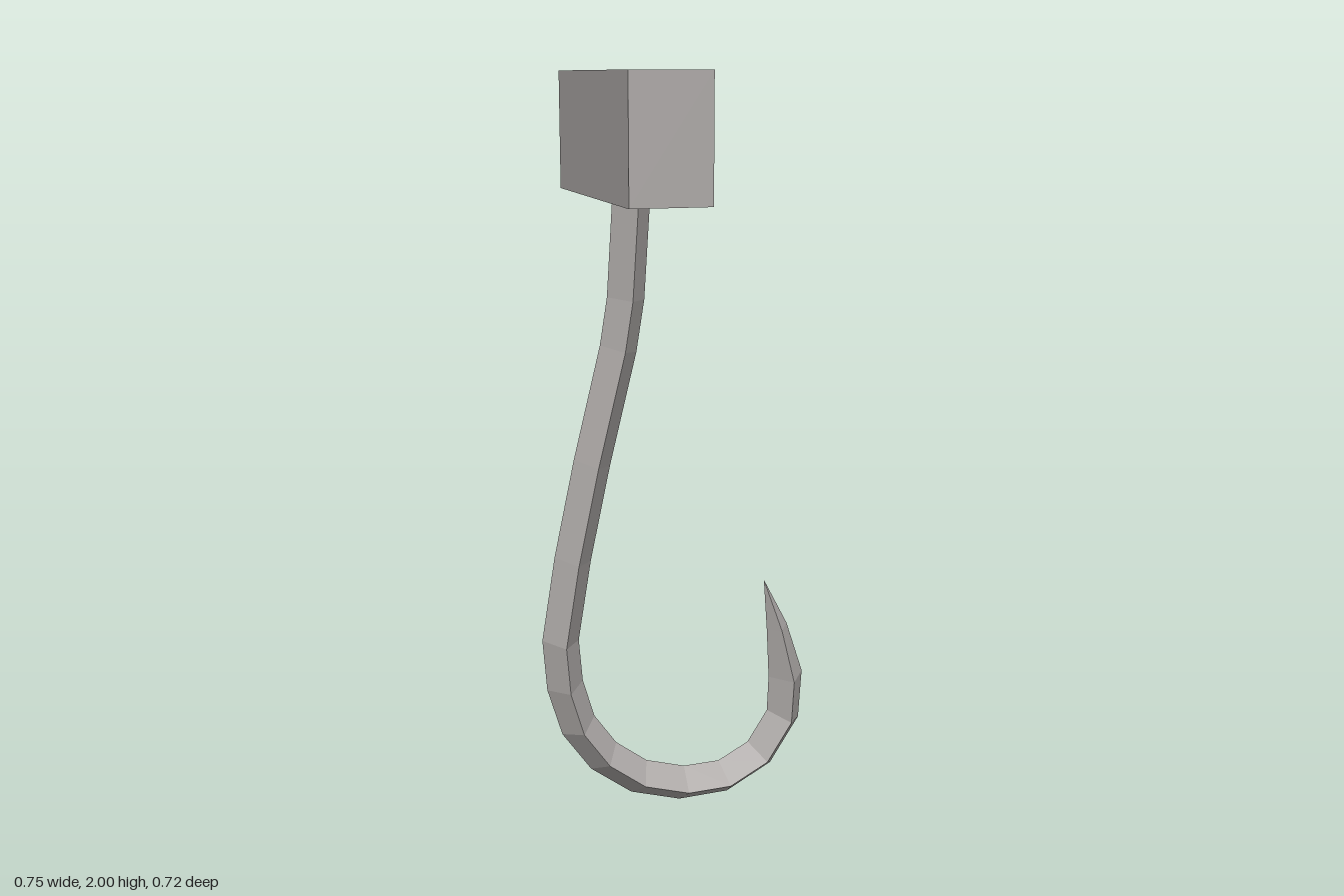
import * as THREE from 'three';

// Centre line of the hook, shank to tip: x, y, thickness factor
const PATH = [
  [-0.117, 1.75, 1], [-0.12, 1.69, 1], [-0.137, 1.43, 1], [-0.158, 1.30, 1], [-0.232, 1.0, 1],
  [-0.288, 0.74, 1], [-0.325, 0.515, 1], [-0.315, 0.385, 1], [-0.28, 0.265, 1],
  [-0.21, 0.165, 1], [-0.11, 0.09, 1], [0.015, 0.053, 1], [0.137, 0.057, 1],
  [0.245, 0.115, 1], [0.315, 0.225, 1], [0.321, 0.345, 1], [0.293, 0.49, 0.6],
  [0.253, 0.63, 0],
];

// Sweeps a four-sided diamond section along a path in the xy plane
function sweepDiamond(path, halfWidth, halfDepth) {
  const rings = path.map(([x, y, s], i) => {
    const p = path[Math.max(i - 1, 0)];
    const q = path[Math.min(i + 1, path.length - 1)];
    const t = new THREE.Vector2(q[0] - p[0], q[1] - p[1]).normalize();
    const nx = -t.y * halfWidth * s;
    const ny = t.x * halfWidth * s;
    const d = halfDepth * s;
    return [[x + nx, y + ny, 0], [x, y, d], [x - nx, y - ny, 0], [x, y, -d]];
  });
  const pos = [];
  for (let i = 0; i < rings.length - 1; i++) {
    for (let j = 0; j < 4; j++) {
      const k = (j + 1) % 4;
      const a = rings[i][j], b = rings[i][k], c = rings[i + 1][k], d = rings[i + 1][j];
      pos.push(...a, ...b, ...c);
      if (path[i + 1][2] > 0) pos.push(...a, ...c, ...d);
    }
  }
  // Close the shank end
  const [a, b, c, d] = rings[0];
  pos.push(...a, ...c, ...b, ...a, ...d, ...c);
  const geo = new THREE.BufferGeometry();
  geo.setAttribute('position', new THREE.Float32BufferAttribute(pos, 3));
  geo.computeVertexNormals();
  return geo;
}

export function createModel() {
  const group = new THREE.Group();
  group.name = 'hook';
  const metal = new THREE.MeshStandardMaterial({ color: 0xaeaaa8, flatShading: true });
  metal.name = 'grey metal';

  // Crossbar handle
  const handle = new THREE.Mesh(new THREE.BoxGeometry(0.206, 0.312, 0.718), metal);
  handle.name = 'handle';
  handle.position.set(-0.12, 1.844, 0);
  group.add(handle);

  // Curved shank, bend and point
  const shank = new THREE.Mesh(sweepDiamond(PATH, 0.05, 0.072), metal);
  shank.name = 'curvedHook';
  group.add(shank);

  return group;
}
